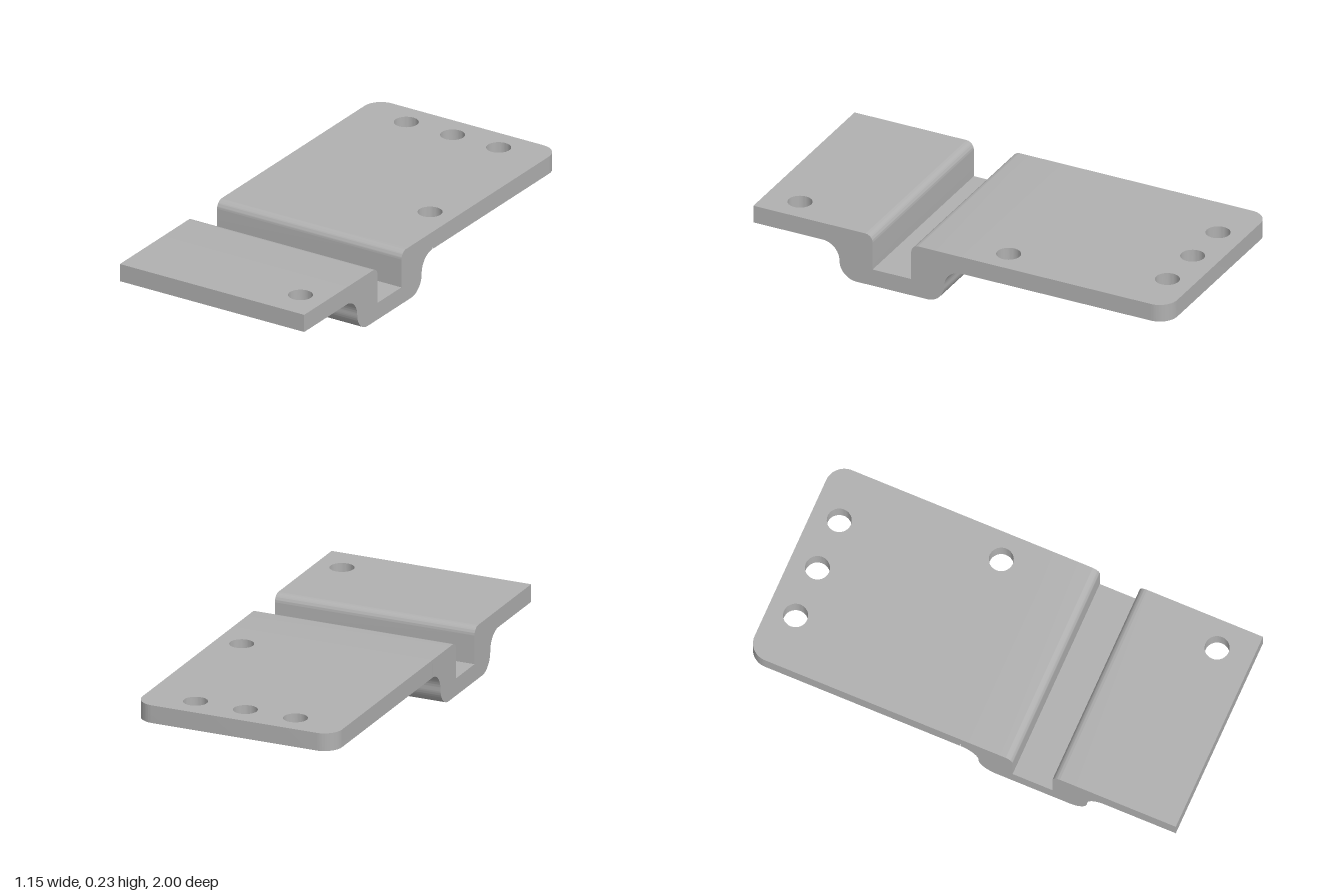
import * as THREE from 'three';
import { toCreasedNormals } from 'three/addons/utils/BufferGeometryUtils.js';

const LEFT = -0.456, RIGHT = 0.441;      // side edges of the bracket
const BACK = -0.958, FRONT = 0.945;      // end edges
const SEAM_BACK = -0.01, SEAM_FRONT = 0.63; // where the plates meet the channel
const UNDER = 0.157, TOP = 0.234;        // plate underside and top
const HOLE_R = 0.051;

// Drop the triangles lying on a seam, so joined parts have no inner walls
function openSeams(geometry) {
  const p = geometry.attributes.position;
  const kept = [];
  for (let i = 0; i < p.count; i += 3) {
    const onSeam = [SEAM_BACK, SEAM_FRONT].some((s) =>
      [0, 1, 2].every((k) => Math.abs(p.getZ(i + k) - s) < 1e-4));
    if (onSeam) continue;
    for (let k = 0; k < 3; k++) kept.push(p.getX(i + k), p.getY(i + k), p.getZ(i + k));
  }
  const out = new THREE.BufferGeometry();
  out.setAttribute('position', new THREE.Float32BufferAttribute(kept, 3));
  return toCreasedNormals(out, 0.6);
}

// Flat plate between two z positions, with drilled holes and rounded back corners
function plateGeometry(zBack, zFront, corner, holes) {
  const s = new THREE.Shape();
  s.moveTo(LEFT, -zFront);
  s.lineTo(RIGHT, -zFront);
  s.lineTo(RIGHT, -zBack - corner);
  if (corner) s.absarc(RIGHT - corner, -zBack - corner, corner, 0, Math.PI / 2);
  s.lineTo(LEFT + corner, -zBack);
  if (corner) s.absarc(LEFT + corner, -zBack - corner, corner, Math.PI / 2, Math.PI);
  s.closePath();
  for (const [x, z] of holes) {
    s.holes.push(new THREE.Path().absarc(x, -z, HOLE_R, 0, Math.PI * 2, true));
  }
  const g = new THREE.ExtrudeGeometry(s, { depth: TOP - UNDER, bevelEnabled: false, curveSegments: 20 });
  g.rotateX(-Math.PI / 2).translate(0, UNDER, 0);
  return openSeams(g);
}

// Dropped channel: side profile swept across the width
function channelGeometry() {
  const r = UNDER / 2, back = 0.07, front = 0.55; // outer walls and bend radius
  const gBack = 0.221, gFront = 0.398, floor = 0.075, lip = 0.035; // groove
  const H = Math.PI / 2;
  const s = new THREE.Shape();
  s.moveTo(SEAM_BACK, UNDER);
  s.absarc(back - r, r, r, H, 0, true);
  s.absarc(back + r, r, r, 2 * H, 3 * H);
  s.absarc(front - r, r, r, 3 * H, 4 * H);
  s.absarc(front + r, r, r, 2 * H, H, true);
  s.lineTo(SEAM_FRONT, UNDER);
  s.lineTo(SEAM_FRONT, TOP);
  s.absarc(gFront + lip, TOP - lip, lip, H, 2 * H);
  s.lineTo(gFront, floor);
  s.lineTo(gBack, floor);
  s.absarc(gBack - lip, TOP - lip, lip, 0, H);
  s.lineTo(SEAM_BACK, TOP);
  s.closePath();
  const g = new THREE.ExtrudeGeometry(s, { depth: RIGHT - LEFT, bevelEnabled: false, curveSegments: 16 });
  g.rotateY(-H).translate(RIGHT, 0, 0);
  return openSeams(g);
}

export function createModel() {
  const metal = new THREE.MeshStandardMaterial({ color: 0xb0b0b0 });
  metal.name = 'grey metal';

  const bracket = new THREE.Group();
  bracket.name = 'bracket';
  const add = (name, geometry) => {
    const mesh = new THREE.Mesh(geometry, metal);
    mesh.name = name;
    bracket.add(mesh);
  };

  add('backPlate', plateGeometry(BACK, SEAM_BACK, 0.08,
    [[-0.228, -0.84], [-0.003, -0.84], [0.221, -0.84], [0.327, -0.167]]));
  add('channel', channelGeometry());
  add('frontPlate', plateGeometry(SEAM_FRONT, FRONT, 0, [[0.323, 0.792]]));

  // The bracket sits turned slightly about the vertical
  bracket.rotation.y = 0.142;

  const model = new THREE.Group();
  model.name = 'mountingBracket';
  model.add(bracket);
  return model;
}
